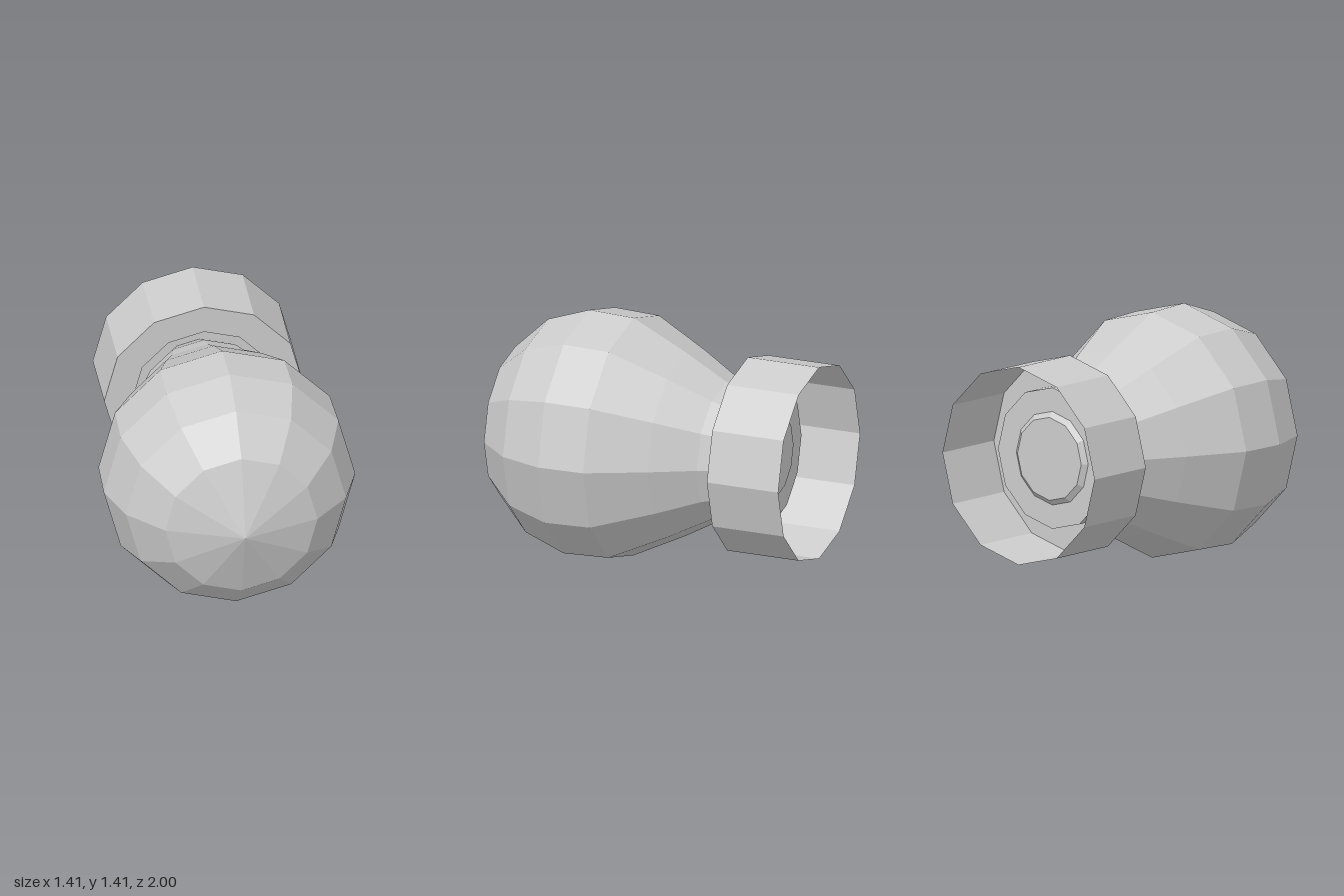
import * as THREE from 'three';

const SIDES = 12;
const CENTRE_Y = 0.705;

// Turn a [z, radius] profile around the horizontal front-to-back axis
function turned(name, profile, side = THREE.FrontSide) {
  const points = profile.map(([z, r]) => new THREE.Vector2(r, z));
  const geometry = new THREE.LatheGeometry(points, SIDES).rotateX(Math.PI / 2);
  const material = new THREE.MeshStandardMaterial({ color: 0xcccccc, flatShading: true, side });
  const mesh = new THREE.Mesh(geometry, material);
  mesh.name = name;
  mesh.position.y = CENTRE_Y;
  return mesh;
}

export function createModel() {
  const model = new THREE.Group();
  model.name = 'bulb';

  // Pear-shaped bulb: chamfered rear end, narrow neck, round front with a pointed tip
  model.add(turned('bulbBody', [
    [-0.735, 0], [-0.735, 0.235], [-0.71, 0.265], [-0.56, 0.35], [-0.43, 0.4],
    [-0.19, 0.535], [0.13, 0.695], [0.4, 0.705], [0.65, 0.617], [0.85, 0.427], [1, 0],
  ]));

  // Socket: open cup at the back, flange around the neck, inner sleeve holding the bulb end
  model.add(turned('socketCollar', [
    [-0.995, 0.56], [-0.562, 0.56], [-0.562, 0.4], [-0.71, 0.4], [-0.71, 0.265],
  ], THREE.DoubleSide));

  return model;
}
